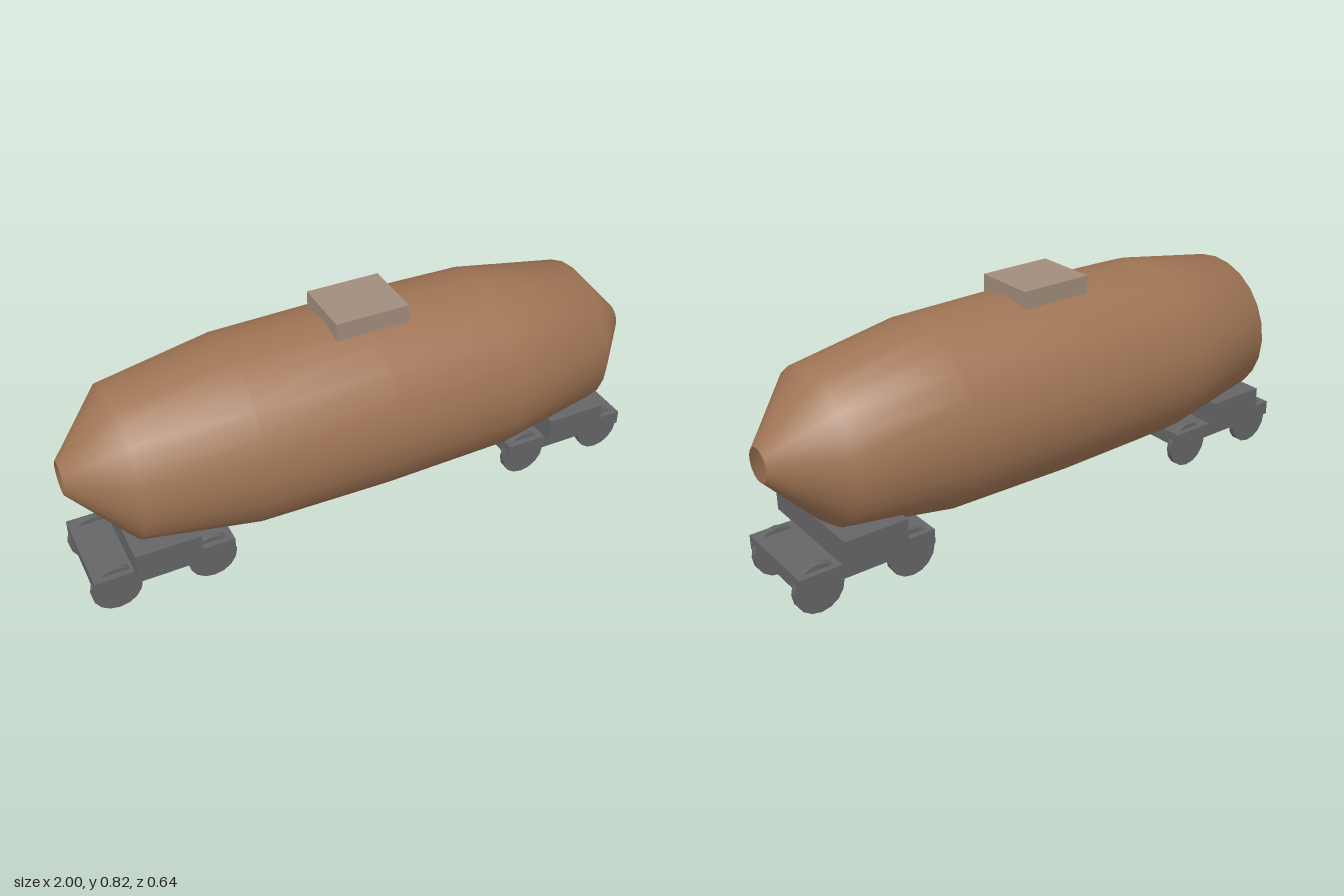
import * as THREE from 'three';

export function createModel() {
  const model = new THREE.Group();
  model.name = 'tankWagon';

  const tankBrown = new THREE.MeshStandardMaterial({ name: 'tankBrown', color: 0x9f7454, side: THREE.DoubleSide });
  const hatchTan = new THREE.MeshStandardMaterial({ name: 'hatchTan', color: 0xa18d7c });
  const steelGrey = new THREE.MeshStandardMaterial({ name: 'steelGrey', color: 0x666669 });

  function add(parent, name, geometry, material, x, y, z) {
    const mesh = new THREE.Mesh(geometry, material);
    mesh.name = name;
    mesh.position.set(x, y, z);
    parent.add(mesh);
    return mesh;
  }

  // Tank: barrel profile turned around the long axis, open at both ends
  const profile = [
    [0.054, -1], [0.25, -0.82], [0.311, -0.445], [0.318, 0],
    [0.311, 0.445], [0.25, 0.82], [0.054, 1],
  ].map(([r, h]) => new THREE.Vector2(r, h));
  const tank = new THREE.LatheGeometry(profile, 24);
  tank.rotateZ(-Math.PI / 2);
  add(model, 'tank', tank, tankBrown, 0, 0.463, 0);

  // Hatch on top
  add(model, 'hatch', new THREE.BoxGeometry(0.25, 0.06, 0.214), hatchTan, 0, 0.789, 0);

  // Bogies: saddle, frame and four wheels at each end
  const saddle = new THREE.BoxGeometry(0.214, 0.086, 0.427);
  const frame = new THREE.BoxGeometry(0.465, 0.05, 0.32);
  const wheel = new THREE.CylinderGeometry(0.0825, 0.0825, 0.021, 16);
  wheel.rotateX(Math.PI / 2);

  for (const side of [-1, 1]) {
    const bogie = new THREE.Group();
    bogie.name = side > 0 ? 'leftBogie' : 'rightBogie';
    bogie.position.x = side * 0.75;
    add(bogie, 'saddle', saddle, steelGrey, 0, 0.213, 0);
    add(bogie, 'frame', frame, steelGrey, 0, 0.123, 0);
    for (const dx of [-0.16, 0.16]) {
      for (const z of [-0.129, 0.129]) {
        add(bogie, 'wheel', wheel, steelGrey, dx, 0.0825, z);
      }
    }
    model.add(bogie);
  }

  return model;
}
